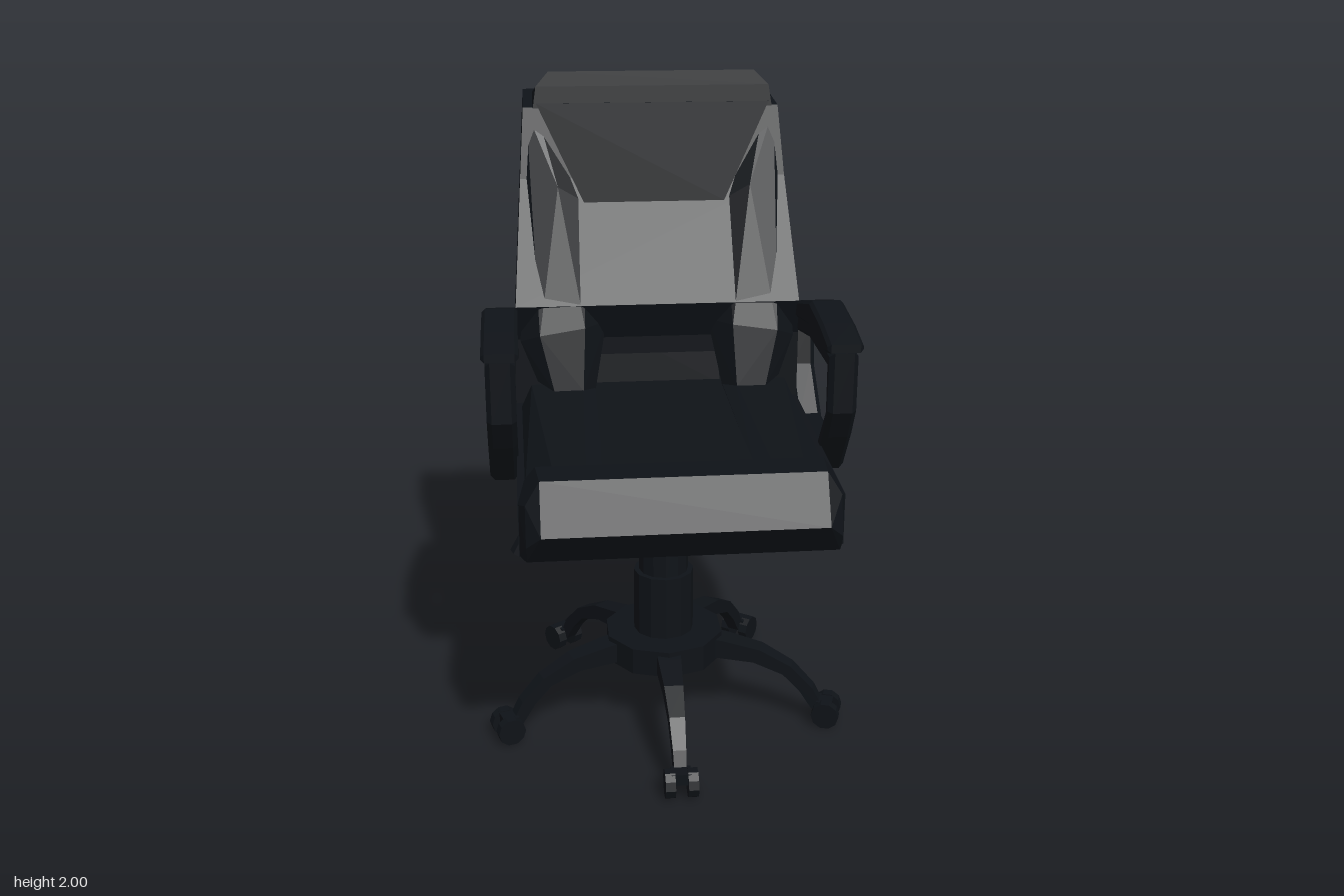
import * as THREE from 'three';
import { ConvexGeometry } from 'three/addons/geometries/ConvexGeometry.js';

const mat = new THREE.MeshStandardMaterial({ color: 0x0e1217, flatShading: true });
const V = (x, y, z) => new THREE.Vector3(x, y, z);

function add(parent, name, geometry) {
  const mesh = new THREE.Mesh(geometry, mat);
  mesh.name = name;
  parent.add(mesh);
  return mesh;
}

// Side profile of [z, y] points, extruded along x and centred on x = 0
function slab(profile, width, hole, bevel = 0) {
  const shape = new THREE.Shape(profile.map(p => new THREE.Vector2(...p)));
  if (hole) shape.holes.push(new THREE.Path(hole.map(p => new THREE.Vector2(...p))));
  const depth = width - 2 * bevel;
  const g = new THREE.ExtrudeGeometry(shape, {
    depth, bevelEnabled: bevel > 0, bevelThickness: bevel, bevelSize: bevel,
    bevelOffset: -bevel, bevelSegments: 1,
  });
  return g.rotateY(-Math.PI / 2).translate(depth / 2, 0, 0);
}

// Convex pad symmetric in x, from [halfWidth, y, z] points
const pad = pts => new ConvexGeometry(pts.flatMap(([x, y, z]) => [V(x, y, z), V(-x, y, z)]));
// Convex pad on one side only
const sidePad = (pts, s) => new ConvexGeometry(pts.map(([x, y, z]) => V(s * x, y, z)));

function rod(parent, name, a, b, r1, r2, sides = 8) {
  const m = add(parent, name, new THREE.CylinderGeometry(r2, r1, a.distanceTo(b), sides));
  m.position.copy(a).lerp(b, 0.5);
  m.quaternion.setFromUnitVectors(V(0, 1, 0), b.clone().sub(a).normalize());
  return m;
}

export function createModel() {
  const chair = new THREE.Group();
  chair.name = 'officeChair';

  // One shell for seat base and backrest, tapering towards the top
  const shell = slab([
    [0.55, 0.8], [0.55, 0.95], [-0.2, 0.99], [-0.2, 1.2], [-0.155, 1.315], [-0.335, 1.68],
    [-0.4, 1.89], [-0.64, 1.92], [-0.658, 1.9], [-0.46, 1.18], [-0.44, 0.8],
  ], 0.9);
  const p = shell.attributes.position;
  for (let i = 0; i < p.count; i++) {
    p.setX(i, p.getX(i) * (1 - Math.max(0, p.getY(i) - 1.2) * 0.16));
  }
  add(chair, 'seatAndBackShell', shell);

  // Seat cushions and rolled front edge
  add(chair, 'seatFrontRoll', pad([
    [0.39, 1.035, 0.59], [0.4, 1.035, 0.48], [0.43, 0.99, 0.46], [0.43, 0.97, 0.6], [0.39, 0.9, 0.662],
    [0.43, 0.86, 0.63], [0.43, 0.806, 0.6], [0.45, 0.8, 0.54], [0.45, 0.95, 0.54],
  ]));
  add(chair, 'seatCentreCushion', pad([
    [0.22, 1.005, 0.47], [0.2, 1.055, -0.2], [0.22, 0.93, 0.47], [0.2, 0.93, -0.2],
  ]));
  for (const s of [1, -1]) {
    add(chair, 'seatSideCushion', sidePad([
      [0.21, 1.005, 0.45], [0.26, 1.016, 0.46], [0.35, 1.013, 0.47], [0.2, 1.055, -0.16],
      [0.24, 1.068, -0.15], [0.4, 1.066, -0.15], [0.43, 0.95, 0.47], [0.44, 0.97, -0.18],
      [0.21, 0.95, 0.45], [0.2, 0.95, -0.18],
    ], s));

    // Backrest side bolsters, upper and lower halves
    add(chair, 'backUpperBolster', sidePad([
      [0.39, 1.88, -0.41], [0.35, 1.85, -0.4], [0.3, 1.66, -0.29], [0.22, 1.61, -0.31],
      [0.4, 1.62, -0.32], [0.16, 1.25, -0.21], [0.23, 1.25, -0.13], [0.37, 1.23, -0.125],
      [0.43, 1.2, -0.18], [0.4, 1.4, -0.26], [0.2, 1.4, -0.28],
    ], s));
    add(chair, 'backLowerBolster', sidePad([
      [0.16, 1.25, -0.21], [0.23, 1.25, -0.13], [0.37, 1.23, -0.125], [0.43, 1.2, -0.18],
      [0.2, 1.05, -0.14], [0.24, 1.06, -0.09], [0.33, 1.06, -0.09], [0.38, 1.08, -0.14],
    ], s));
  }

  // Backrest centre panel
  add(chair, 'backCentrePanel', pad([
    [0.22, 1.64, -0.31], [0.18, 1.25, -0.21], [0.2, 1.04, -0.19],
    [0.22, 1.64, -0.4], [0.18, 1.25, -0.3], [0.2, 1.04, -0.24],
  ]));

  // Headrest: a cap over the top edge and a flap hanging down in front
  add(chair, 'headrestCap', pad([
    [0.37, 1.895, -0.332], [0.36, 1.96, -0.34], [0.32, 2, -0.387], [0.31, 1.94, -0.61],
    [0.37, 1.91, -0.62], [0.37, 1.89, -0.42],
  ]));
  add(chair, 'headrestFlap', pad([
    [0.36, 1.91, -0.332], [0.36, 1.91, -0.35], [0.22, 1.61, -0.295], [0.22, 1.61, -0.34],
    [0.28, 1.75, -0.315], [0.28, 1.75, -0.35],
  ]));

  // Armrests: a closed loop frame with a pad on top
  for (const s of [1, -1]) {
    const arm = new THREE.Group();
    arm.name = s > 0 ? 'leftArmrest' : 'rightArmrest';
    arm.position.x = s * 0.488;
    add(arm, 'armFrame', slab([
      [0.31, 1.28], [0.31, 1.1], [0.26, 1.01], [0.165, 0.875], [-0.19, 0.868], [-0.37, 1.02],
      [-0.39, 1.23], [-0.15, 1.28], [0.03, 1.3],
    ], 0.085, [
      [0.262, 1.225], [-0.02, 1.232], [-0.33, 1.18], [-0.31, 1.06], [-0.17, 0.935],
      [0.14, 0.935], [0.195, 1.01], [0.265, 1.1],
    ], 0.014));
    add(arm, 'armPad', slab([
      [0.322, 1.285], [0.322, 1.31], [0.2, 1.34], [0.03, 1.363], [-0.15, 1.318], [-0.39, 1.235],
      [-0.39, 1.21], [-0.15, 1.26], [0.03, 1.285], [0.26, 1.27],
    ], 0.105, null, 0.01));
    chair.add(arm);
  }

  // Gas lift column and hub: [radius, bottom, top, sides]
  const column = [
    ['piston', 0.045, 0.68, 0.82, 12], ['upperSleeve', 0.078, 0.48, 0.695, 12],
    ['lowerSleeve', 0.095, 0.26, 0.49, 12], ['baseHub', 0.19, 0.2, 0.285, 10],
  ];
  for (const [name, r, y0, y1, sides] of column) {
    add(chair, name, new THREE.CylinderGeometry(r, r, y1 - y0, sides)).position.y = (y0 + y1) / 2;
  }

  // Height lever
  rod(chair, 'leverArm', V(0, 0.752, 0), V(-0.355, 0.752, 0), 0.018, 0.018);
  rod(chair, 'leverBend', V(-0.35, 0.76, 0), V(-0.41, 0.66, 0), 0.018, 0.018);
  rod(chair, 'leverHandle', V(-0.4, 0.68, 0), V(-0.45, 0.56, 0), 0.022, 0.036);

  // Five curved legs, each with a twin-wheel caster
  for (let k = 0; k < 5; k++) {
    const leg = new THREE.Group();
    leg.name = 'leg' + (k + 1);
    leg.rotation.y = k * Math.PI * 2 / 5;
    const g = slab([
      [0.13, 0.275], [0.2, 0.268], [0.32, 0.245], [0.42, 0.195], [0.49, 0.125], [0.525, 0.06],
      [0.49, 0.05], [0.45, 0.11], [0.395, 0.165], [0.3, 0.2], [0.13, 0.21],
    ], 0.08);
    const q = g.attributes.position;
    for (let i = 0; i < q.count; i++) {
      q.setX(i, q.getX(i) * (1 - Math.max(0, q.getZ(i) - 0.13) * 1.4));
    }
    add(leg, 'legArm', g);
    add(leg, 'casterAxle', new THREE.BoxGeometry(0.06, 0.035, 0.05)).position.set(0, 0.065, 0.53);
    for (const s of [1, -1]) {
      const wheel = add(leg, 'casterWheel', new THREE.CylinderGeometry(0.044, 0.044, 0.03, 10).rotateZ(Math.PI / 2));
      wheel.position.set(s * 0.034, 0.044, 0.535);
    }
    chair.add(leg);
  }
  return chair;
}
